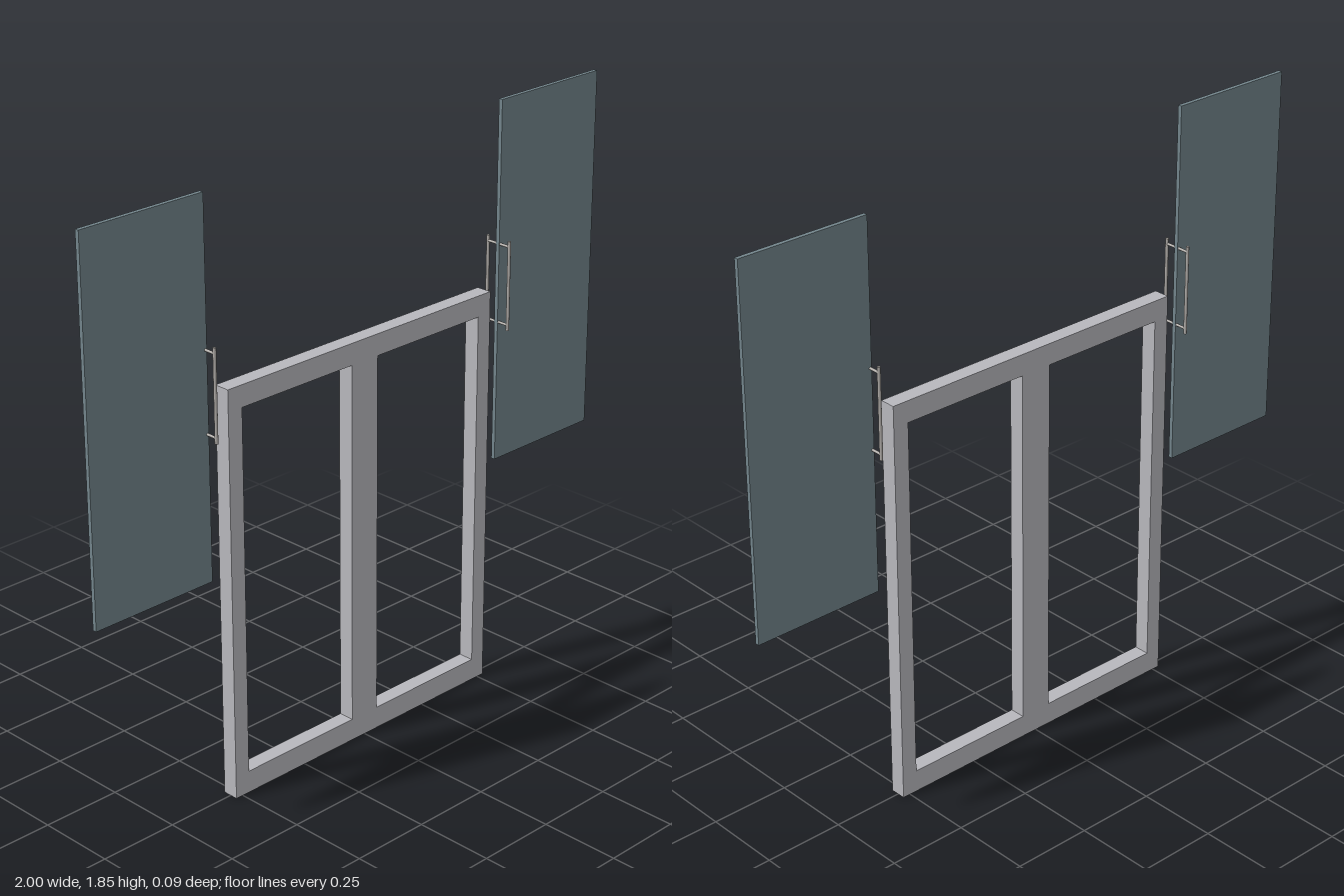
import * as THREE from 'three';

const frameMetal = new THREE.MeshStandardMaterial({ color: 0xb8b8bd });
frameMetal.name = 'frame metal';
const tintedGlass = new THREE.MeshStandardMaterial({ color: 0x73858c });
tintedGlass.name = 'tinted glass';
const handleMetal = new THREE.MeshStandardMaterial({ color: 0xb0aca8 });
handleMetal.name = 'handle metal';

// Box given by its extents in x and y, centred on z = 0
function slab(name, x0, x1, y0, y1, depth, material) {
  const mesh = new THREE.Mesh(new THREE.BoxGeometry(Math.abs(x1 - x0), y1 - y0, depth), material);
  mesh.position.set((x0 + x1) / 2, (y0 + y1) / 2, 0);
  mesh.name = name;
  return mesh;
}

function rod(name, radius, length, x, y, z) {
  const mesh = new THREE.Mesh(new THREE.CylinderGeometry(radius, radius, length, 16), handleMetal);
  mesh.position.set(x, y, z);
  mesh.name = name;
  return mesh;
}

// One door leaf frame: two stiles and two rails
function leafFrame(side) {
  const g = new THREE.Group();
  const depth = 0.05, height = 1.28;
  g.add(
    slab('innerStile', 0, side * 0.052, 0, height, depth, frameMetal),
    slab('outerStile', side * 0.474, side * 0.525, 0, height, depth, frameMetal),
    slab('bottomRail', side * 0.052, side * 0.474, 0, 0.07, depth, frameMetal),
    slab('topRail', side * 0.052, side * 0.474, 1.213, height, depth, frameMetal)
  );
  return g;
}

// Pull handle: a bar on each face joined by two posts
function pullHandle(side) {
  const g = new THREE.Group();
  const x = side * 0.585;
  for (const z of [-0.042, 0.042]) g.add(rod('handleBar', 0.005, 0.28, x, 1.285, z));
  for (const y of [1.162, 1.408]) {
    const post = rod('handlePost', 0.004, 0.084, x, y, 0);
    post.rotation.x = Math.PI / 2;
    g.add(post);
  }
  return g;
}

export function createModel() {
  const model = new THREE.Group();
  model.name = 'doubleDoor';
  for (const [side, label] of [[1, 'left'], [-1, 'right']]) {
    const frame = leafFrame(side);
    frame.name = label + 'DoorFrame';
    const handle = pullHandle(side);
    handle.name = label + 'Handle';
    const pane = slab(label + 'GlassPane', side * 0.58, side, 0.715, 1.85, 0.013, tintedGlass);
    model.add(frame, pane, handle);
  }
  return model;
}
